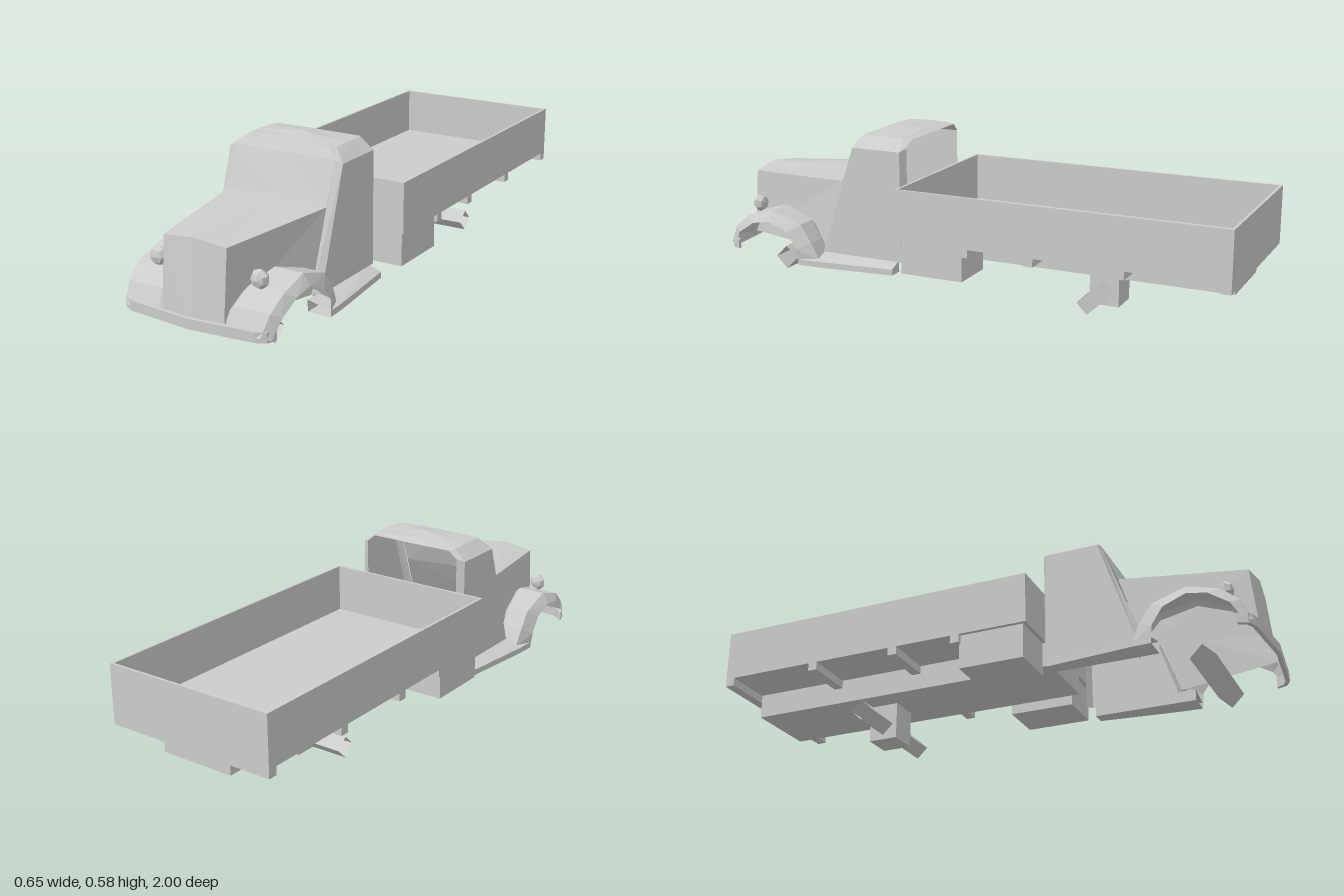
import * as THREE from 'three';

const solid = new THREE.MeshStandardMaterial({ color: 0xcccccc, flatShading: true });
const sheet = new THREE.MeshStandardMaterial({ color: 0xcccccc, flatShading: true, side: THREE.DoubleSide });

function add(parent, name, geometry, material = solid) {
  const mesh = new THREE.Mesh(geometry, material);
  mesh.name = name;
  parent.add(mesh);
  return mesh;
}

// Box given by its limits
function box(parent, name, x0, x1, y0, y1, z0, z1) {
  const mesh = add(parent, name, new THREE.BoxGeometry(x1 - x0, y1 - y0, z1 - z0));
  mesh.position.set((x0 + x1) / 2, (y0 + y1) / 2, (z0 + z1) / 2);
  return mesh;
}

// Faceted surface through rows of points
function loft(rows) {
  const p = [];
  for (let i = 0; i < rows.length - 1; i++) {
    const a = rows[i], b = rows[i + 1];
    for (let j = 0; j < a.length - 1; j++) {
      p.push(...a[j], ...b[j], ...b[j + 1], ...a[j], ...b[j + 1], ...a[j + 1]);
    }
  }
  const g = new THREE.BufferGeometry();
  g.setAttribute('position', new THREE.Float32BufferAttribute(p, 3));
  g.computeVertexNormals();
  return g;
}

// Half a section ending on the centre line -> full section
const full = (half) => [...half, ...half.slice(0, -1).reverse().map(([x, y, z]) => [-x, y, z])];

// Flat outline in x/z, extruded upwards from y
function slab(parent, name, outline, y, height) {
  const shape = new THREE.Shape(outline.map(([x, z]) => new THREE.Vector2(x, -z)));
  const g = new THREE.ExtrudeGeometry(shape, { depth: height, bevelEnabled: false });
  g.rotateX(-Math.PI / 2);
  g.translate(0, y, 0);
  return add(parent, name, g, sheet);
}

function buildBed(group) {
  const W = 0.327, t = 0.01, zf = 0.215, zb = -1;
  box(group, 'bedFloor', -W, W, 0.225, 0.233, zb, zf);
  for (const s of [-1, 1]) {
    const x = s * (W - t / 2);
    box(group, 'bedSideWall', x - t / 2, x + t / 2, 0.225, 0.41, zb, zf);
  }
  box(group, 'bedFrontWall', -W + t, W - t, 0.233, 0.41, zf - t, zf);
  box(group, 'bedTailgate', -W + t, W - t, 0.233, 0.41, zb, zb + t);
  for (const z of [-0.053, -0.298, -0.625, -0.983]) {
    box(group, 'crossBar', -W, W, 0.195, 0.225, z - 0.017, z + 0.017);
  }
}

function buildChassis(group) {
  box(group, 'chassisFrame', -0.14, 0.14, 0.135, 0.225, -0.965, 0.23);
  box(group, 'leftTank', 0.14, 0.313, 0.1, 0.225, -0.04, 0.2);
  box(group, 'rightTank', -0.313, -0.14, 0.1, 0.225, -0.04, 0.2);
  box(group, 'differential', -0.055, 0.055, 0, 0.135, -0.53, -0.42);
  // Open-ended four-sided axle tubes standing on edge
  for (const [name, r, len, y, z] of [['rearAxle', 0.039, 0.44, 0.056, -0.475], ['frontAxle', 0.045, 0.362, 0.05, 0.78]]) {
    const g = new THREE.CylinderGeometry(r, r, len, 4, 1, true);
    g.rotateZ(Math.PI / 2);
    add(group, name, g, sheet).position.set(0.003, y, z);
  }
}

function buildCab(group) {
  // Shell from the windscreen frame back to the open rear
  add(group, 'cabShell', loft([
    [[0.2, 0.11, 0.6], [0.2, 0.53, 0.45], [0.165, 0.56, 0.43], [0, 0.562, 0.43]],
    [[0.227, 0.11, 0.58], [0.227, 0.52, 0.445], [0.178, 0.56, 0.41], [0, 0.57, 0.39]],
    [[0.227, 0.11, 0.41], [0.227, 0.52, 0.35], [0.178, 0.562, 0.34], [0, 0.578, 0.34]],
    [[0.227, 0.11, 0.25], [0.227, 0.52, 0.25], [0.178, 0.56, 0.26], [0, 0.568, 0.27]],
    [[0.2, 0.105, 0.235], [0.2, 0.53, 0.235], [0.165, 0.557, 0.232], [0, 0.557, 0.23]],
  ].map(full)), sheet);
  add(group, 'windscreen', loft([
    [[0.2, 0.383, 0.507], [0, 0.397, 0.507]],
    [[0.2, 0.53, 0.45], [0, 0.53, 0.45]],
    [[0.165, 0.56, 0.43], [0, 0.562, 0.43]],
  ].map(full)), sheet);
  add(group, 'hood', loft([
    [[0.12, 0.12, 0.965], [0.122, 0.365, 0.943], [0, 0.38, 0.953]],
    [[0.2, 0.11, 0.6], [0.2, 0.383, 0.507], [0, 0.397, 0.507]],
  ].map(full)), sheet);
  add(group, 'grille', loft([
    [[0.12, 0.12, 0.965], [0, 0.12, 0.982]],
    [[0.122, 0.365, 0.943], [0, 0.38, 0.953]],
  ].map(full)), sheet);
  slab(group, 'bumper', [
    [0.288, 0.925], [0.275, 0.96], [0.24, 0.977], [0, 1], [-0.24, 0.977], [-0.275, 0.96], [-0.288, 0.925],
    [-0.275, 0.925], [-0.262, 0.95], [-0.235, 0.963], [0, 0.985], [0.235, 0.963], [0.262, 0.95], [0.275, 0.925],
  ], 0.094, 0.035);
}

// Fender, running board and headlight of one side
function buildSide() {
  const side = new THREE.Group();
  // Stations: z and y of the crown, z and y of the wheel opening, outer x
  const stations = [
    [0.975, 0.11, 0.95, 0.1, 0.285],
    [0.94, 0.18, 0.91, 0.165, 0.3],
    [0.88, 0.228, 0.84, 0.21, 0.308],
    [0.77, 0.26, 0.77, 0.222, 0.308],
    [0.645, 0.22, 0.69, 0.19, 0.308],
    [0.6, 0.155, 0.65, 0.13, 0.308],
    [0.57, 0.092, 0.645, 0.07, 0.303],
  ];
  add(side, 'fender', loft(stations.map(([z, y, za, ya, xo]) => {
    const hoodX = Math.min(0.2, 0.12 + Math.max(0, 0.965 - z) * 0.21);
    return [[xo, ya, za], [xo - 0.025, y, z], [hoodX + 0.015, y, z], [hoodX - 0.004, y - 0.02, z]];
  })), sheet);

  // Running board: tapering to the rear, top rising to the cab
  const ring = (xo, z) => [[0.215, 0.07, z], [xo, 0.07, z], [xo, 0.092, z], [0.215, 0.112, z], [0.215, 0.07, z]];
  add(side, 'runningBoard', loft([ring(0.303, 0.645), ring(0.3, 0.57), ring(0.268, 0.265)]), sheet);
  const end = ring(0.268, 0.265);
  add(side, 'runningBoardEnd', loft([[end[0], end[1]], [end[3], end[2]]]), sheet);

  const lamp = new THREE.SphereGeometry(0.034, 7, 4);
  lamp.rotateX(Math.PI / 2);
  lamp.scale(1, 1, 0.75);
  add(side, 'headlight', lamp).position.set(0.197, 0.26, 0.88);
  return side;
}

export function createModel() {
  const model = new THREE.Group();
  model.name = 'truck';
  buildBed(model);
  buildChassis(model);
  buildCab(model);
  for (const [name, s] of [['leftSide', 1], ['rightSide', -1]]) {
    const side = buildSide();
    side.name = name;
    side.scale.x = s;
    model.add(side);
  }
  return model;
}
